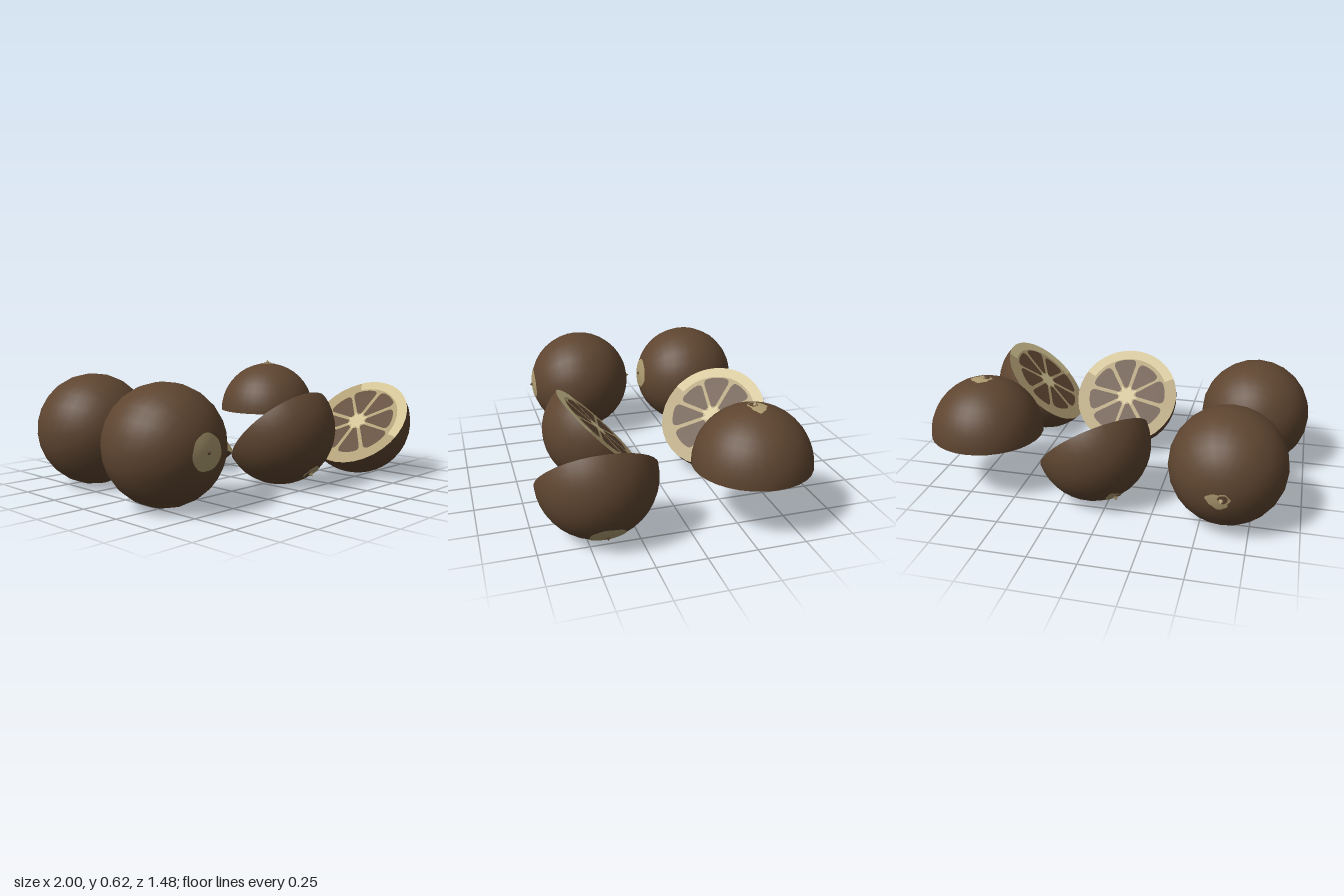
import * as THREE from 'three';

const R = 0.3;
const mat = (name, color) => {
  const m = new THREE.MeshStandardMaterial({ color });
  m.name = name;
  return m;
};

export function createModel() {
  const skin = mat('brown skin', 0x5e4530);
  const flesh = mat('brown flesh', 0x5e4631);
  const tan = mat('tan pith', 0xad9b70);
  const cream = mat('cream pith', 0xcfc091);

  const add = (parent, name, geometry, material) => {
    const mesh = new THREE.Mesh(geometry, material);
    mesh.name = name;
    parent.add(mesh);
    return mesh;
  };

  // Thin patch hugging the sphere around the +y pole, with a wavy outline
  function patch(rx, rz, wobble, ox, oz, radius) {
    const g = new THREE.RingGeometry(0.001, 1, 32, 4).rotateX(-Math.PI / 2);
    const p = g.attributes.position;
    for (let i = 0; i < p.count; i++) {
      const a = Math.atan2(p.getZ(i), p.getX(i));
      const k = 1 + wobble * (Math.sin(3 * a + 0.6) + 0.5 * Math.sin(7 * a));
      const x = p.getX(i) * rx * k + ox, z = p.getZ(i) * rz * k + oz;
      p.setXYZ(i, x, Math.sqrt(radius * radius - x * x - z * z), z);
    }
    g.computeVertexNormals();
    return g;
  }

  // Stem end: ragged pale flake, brown scar and a small nub
  function stemEnd() {
    const g = new THREE.Group();
    g.name = 'stemEnd';
    add(g, 'stemFlake', patch(0.057, 0.043, 0.12, 0.014, -0.006, R + 0.003), tan);
    add(g, 'stemScar', patch(0.024, 0.022, 0.05, -0.008, 0.008, R + 0.005), skin);
    add(g, 'stemNub', new THREE.ConeGeometry(0.016, 0.026, 7), tan).position.y = R + 0.012;
    return g;
  }

  // Blossom end: larger round spot with a tiny tip
  function blossomEnd() {
    const g = new THREE.Group();
    g.name = 'blossomEnd';
    add(g, 'blossomSpot', patch(0.09, 0.088, 0.03, 0, 0, R + 0.003), tan);
    add(g, 'blossomTip', new THREE.ConeGeometry(0.013, 0.018, 7), skin).position.y = R + 0.008;
    return g;
  }

  // One flesh segment: narrow at the core, round at the rind
  function segmentShape(angle, half, outer) {
    const at = (r, t) => [r * Math.cos(angle + t), r * Math.sin(angle + t)];
    const s = new THREE.Shape();
    s.moveTo(...at(0.055, -half * 0.6));
    s.lineTo(...at(outer * 0.85, -half));
    s.quadraticCurveTo(...at(outer * 1.02, -half), ...at(outer, -half * 0.5));
    s.quadraticCurveTo(...at(outer * 1.02, 0), ...at(outer, half * 0.5));
    s.quadraticCurveTo(...at(outer * 1.02, half), ...at(outer * 0.85, half));
    s.lineTo(...at(0.055, half * 0.6));
    s.closePath();
    return s;
  }

  // Cut face, looking down local -y, in thin layers
  function cutFace(spin) {
    const g = new THREE.Group();
    g.name = 'cutFace';
    const layer = (name, geometry, material, depth) =>
      add(g, name, geometry.rotateX(Math.PI / 2), material).position.y = -depth;
    layer('pith', new THREE.CircleGeometry(R, 32), tan, 0);
    layer('paleRind', new THREE.RingGeometry(0.243, R, 24, 1, spin - 1.1, 2.2), cream, 0.002);
    const count = 8, step = Math.PI * 2 / count;
    const segments = [];
    for (let i = 0; i < count; i++) {
      const gap = i % 3 === 0 ? 0.075 : 0.04;
      segments.push(segmentShape(i * step + 0.2, step / 2 - gap, 0.228 + 0.01 * Math.sin(i * 2.3)));
    }
    layer('fleshSegments', new THREE.ShapeGeometry(segments, 8), flesh, 0.003);
    const core = new THREE.Shape();
    for (let i = 0; i < count * 2; i++) {
      const r = i % 2 ? 0.068 : 0.04, a = i * step / 2 + 0.2;
      core[i ? 'lineTo' : 'moveTo'](r * Math.cos(a), r * Math.sin(a));
    }
    layer('core', new THREE.ShapeGeometry(core), cream, 0.004);
    return g;
  }

  const model = new THREE.Group();
  model.name = 'fruits';
  const up = new THREE.Vector3(0, 1, 0);

  // Place a group so that its +y axis points along the given pole
  function place(group, name, x, z, pole) {
    group.name = name;
    group.position.set(x, 0.305, z);
    group.quaternion.setFromUnitVectors(up, new THREE.Vector3(...pole).normalize());
    model.add(group);
  }

  function wholeFruit() {
    const g = new THREE.Group();
    add(g, 'skin', new THREE.SphereGeometry(R, 24, 18), skin);
    g.add(stemEnd());
    const end = blossomEnd();
    end.rotation.x = Math.PI;
    g.add(end);
    return g;
  }

  function halfFruit(end, spin) {
    const g = new THREE.Group();
    add(g, 'skin', new THREE.SphereGeometry(R, 32, 10, 0, Math.PI * 2, 0, Math.PI / 2), skin);
    g.add(end, cutFace(spin));
    return g;
  }

  // Two whole fruits
  place(wholeFruit(), 'frontWholeFruit', -0.7, 0.24, [0, 0, -1]);
  place(wholeFruit(), 'backWholeFruit', -0.62, -0.43, [0, -0.11, -0.99]);

  // Four halves: one face down, three tilted open
  place(halfFruit(stemEnd(), 0), 'halfFaceDown', 0.695, -0.335, [0, 1, 0]);
  place(halfFruit(stemEnd(), 0.8), 'halfBack', 0.09, -0.36, [-0.5, -0.707, -0.5]);
  place(halfFruit(stemEnd(), -Math.PI / 2), 'halfMiddle', 0.07, 0.3, [0, -1, 1]);
  place(halfFruit(blossomEnd(), 2.4), 'halfLeft', 0.617, 0.43, [1, -1, 0]);

  return model;
}
